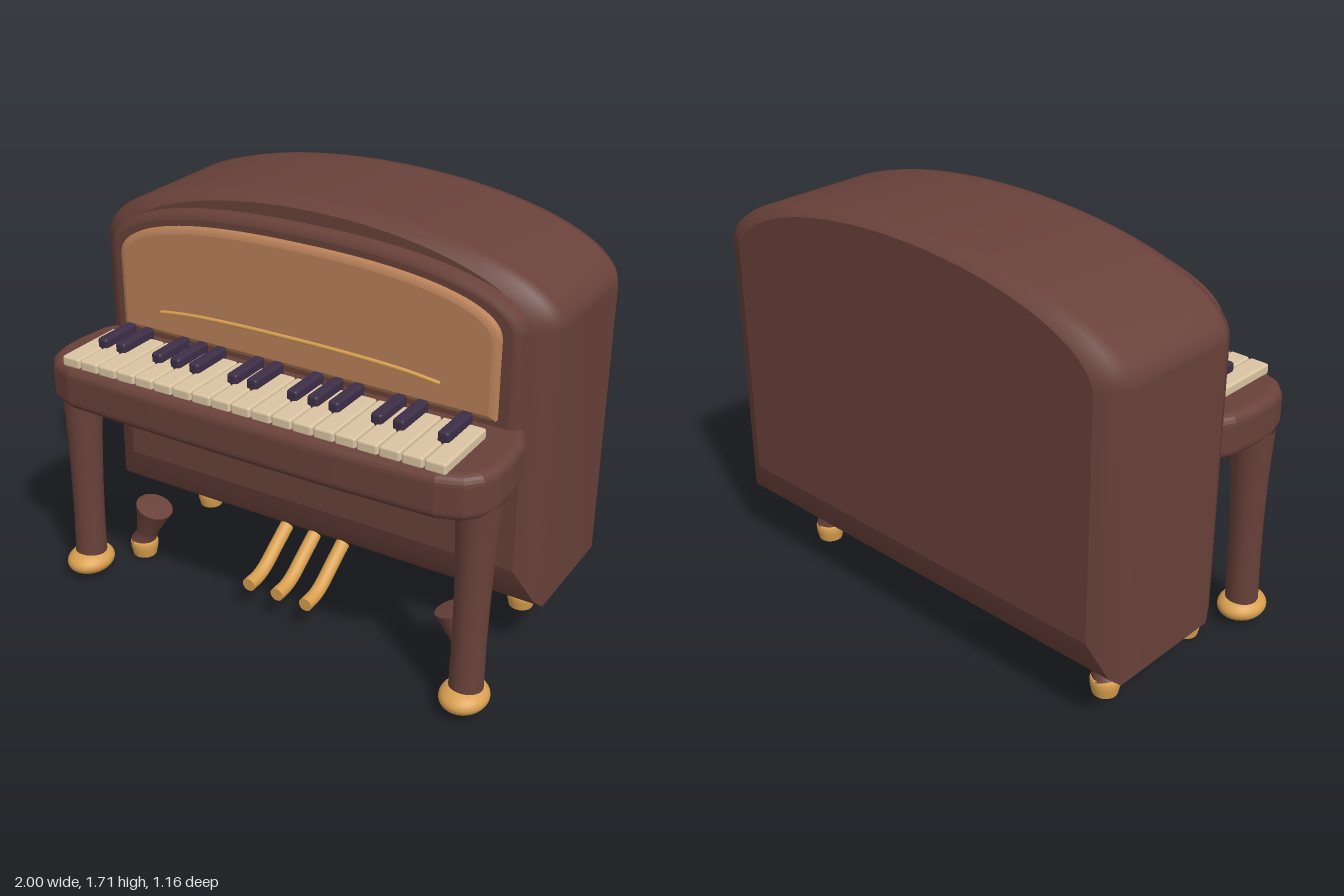
import * as THREE from 'three';
import { RoundedBoxGeometry } from 'three/addons/geometries/RoundedBoxGeometry.js';

const mat = (name, color) => {
  const m = new THREE.MeshStandardMaterial({ color });
  m.name = name;
  return m;
};

// Arched outline: flat bottom, straight sides, superelliptic top (corners doubled to stay sharp)
function archRing(w, yb, ys, yt, p) {
  const pts = [[-w, yb], [w, yb], [w, yb]];
  const n = 48;
  for (let i = 0; i <= n; i++) {
    const t = (i / n) * Math.PI;
    const c = Math.cos(t), s = Math.max(0, Math.sin(t));
    pts.push([w * Math.sign(c) * Math.abs(c) ** (2 / p), ys + (yt - ys) * s ** (2 / p)]);
  }
  pts.push([-w, yb]);
  return pts;
}

// Skin arched outlines from back to front; layer = [z, halfWidth, bottom, shoulder, top]
function archLoft(layers, p = 2) {
  const pos = [], idx = [];
  const rings = layers.map(([z, ...r]) => archRing(...r, p).map(([x, y]) => [x, y, z]));
  const n = rings[0].length;
  rings.forEach((r) => r.forEach((v) => pos.push(...v)));
  for (let i = 0; i < rings.length - 1; i++) {
    for (let j = 0; j < n - 1; j++) {
      const a = i * n + j, d = a + n;
      idx.push(a, a + 1, d + 1, a, d + 1, d);
    }
  }
  const cap = (ring, front) => {
    const base = pos.length / 3;
    pos.push(0, (ring[0][1] + ring[3][1]) / 2, ring[0][2]);
    ring.forEach((v) => pos.push(...v));
    for (let j = 1; j < n; j++) {
      if (front) idx.push(base, base + j, base + j + 1);
      else idx.push(base, base + j + 1, base + j);
    }
  };
  cap(rings[0], false);
  cap(rings[rings.length - 1], true);
  const g = new THREE.BufferGeometry();
  g.setAttribute('position', new THREE.Float32BufferAttribute(pos, 3));
  g.setIndex(idx);
  g.computeVertexNormals();
  return g;
}

const lathe = (pts, seg = 28) =>
  new THREE.LatheGeometry(pts.map(([r, y]) => new THREE.Vector2(r, y)), seg);

const curve = (pts) => new THREE.CatmullRomCurve3(pts.map((p) => new THREE.Vector3(...p)));

export function createModel() {
  const model = new THREE.Group();
  model.name = 'uprightPiano';
  const wood = mat('darkWood', 0x69413a);
  const panelWood = mat('lightWood', 0xba8159);
  const gold = mat('brass', 0xd9a050);
  const ivory = mat('ivory', 0xdac5a2);
  const ebony = mat('ebony', 0x3d2e46);

  const add = (name, geo, material, x = 0, y = 0, z = 0, parent = model) => {
    const m = new THREE.Mesh(geo, material);
    m.name = name;
    m.position.set(x, y, z);
    parent.add(m);
    return m;
  };

  // Case with softened front and back edges
  add('case', archLoft([
    [-0.58, 0.9, 0.42, 1.38, 1.68],
    [-0.545, 0.98, 0.29, 1.4, 1.705],
    [-0.5, 1, 0.25, 1.4, 1.71],
    [0, 1, 0.25, 1.4, 1.71],
    [0.045, 0.98, 0.29, 1.4, 1.705],
    [0.08, 0.9, 0.42, 1.38, 1.68],
  ]), wood);

  // Raised frame and the music panel set on it
  add('panelFrame', archLoft([
    [0.07, 0.9, 1.0, 1.39, 1.63],
    [0.125, 0.9, 1.0, 1.39, 1.63],
    [0.138, 0.89, 1.01, 1.385, 1.62],
    [0.143, 0.87, 1.03, 1.38, 1.6],
  ], 2.3), wood);
  add('musicPanel', archLoft([
    [0.135, 0.83, 1.07, 1.37, 1.575],
    [0.16, 0.83, 1.07, 1.37, 1.575],
    [0.169, 0.822, 1.08, 1.367, 1.567],
    [0.173, 0.805, 1.09, 1.36, 1.55],
  ], 2.4), panelWood);

  // Music rail
  add('musicRail', new THREE.TubeGeometry(curve([
    [-0.62, 1.18, 0.19], [-0.48, 1.2, 0.198], [-0.25, 1.213, 0.204], [0, 1.216, 0.205],
    [0.25, 1.213, 0.204], [0.48, 1.2, 0.198], [0.62, 1.18, 0.19],
  ]), 48, 0.008, 8), gold);

  // Keyboard shelf with rounded front corners
  const right = [[0.9, 0.06], [0.955, 0.17], [0.97, 0.3], [0.968, 0.4], [0.945, 0.48], [0.895, 0.535], [0.8, 0.57]];
  const outline = new THREE.Shape([
    ...right.map(([x, z]) => [x, z]),
    [0.4, 0.582], [0, 0.585], [-0.4, 0.582],
    ...right.slice().reverse().map(([x, z]) => [-x, z]),
  ].map(([x, z]) => new THREE.Vector2(x, z)));
  const shelfGeo = new THREE.ExtrudeGeometry(outline, {
    depth: 0.1, bevelEnabled: true, bevelThickness: 0.04, bevelSize: 0.04, bevelOffset: -0.04, bevelSegments: 5,
  });
  shelfGeo.rotateX(Math.PI / 2);
  add('keyShelf', shelfGeo, wood, 0, 1.0, 0);

  // Keys
  const keys = new THREE.Group();
  keys.name = 'keyboard';
  model.add(keys);
  const pitch = 0.088, x0 = -0.84;
  const whiteGeo = new RoundedBoxGeometry(0.083, 0.045, 0.315, 2, 0.01);
  for (let i = 0; i < 19; i++) {
    add('whiteKey', whiteGeo, ivory, x0 + (i + 0.5) * pitch, 1.055, 0.388, keys);
  }
  const blackGeo = new RoundedBoxGeometry(0.046, 0.055, 0.195, 2, 0.012);
  for (const k of [1, 2, 4, 5, 6, 8, 9, 11, 12, 13, 15, 16, 18]) {
    add('blackKey', blackGeo, ebony, x0 + k * pitch, 1.087, 0.308, keys);
  }

  // Tall front legs and short case legs, mirrored
  const legGeo = lathe([[0.066, 0], [0.064, 0.2], [0.066, 0.38], [0.071, 0.55], [0.079, 0.7], [0.086, 0.8]]);
  const ballGeo = new THREE.SphereGeometry(1, 28, 18);
  const shortGeo = lathe([[0.058, 0], [0.045, 0.035], [0.048, 0.07], [0.064, 0.14], [0.08, 0.2], [0.08, 0.2], [0, 0.205]]);
  const capGeo = lathe([[0, 0], [0.05, 0], [0.05, 0], [0.058, 0.035], [0.06, 0.06], [0.055, 0.075], [0, 0.08]]);
  for (const s of [-1, 1]) {
    add('frontLeg', legGeo, wood, s * 0.888, 0.09, 0.415).rotation.x = -0.033;
    add('frontLegFoot', ballGeo, gold, s * 0.887, 0.068, 0.422).scale.set(0.094, 0.054, 0.108);
    for (const [z, lean, h] of [[0.185, 0, 1], [-0.315, 0.1, 1.12]]) {
      const leg = add('shortLeg', shortGeo, wood, s * 0.785, 0.062, z);
      leg.rotation.set(lean, 0, s * 0.34);
      leg.scale.y = h;
      add('shortLegFoot', capGeo, gold, s * 0.785, 0, z);
    }
  }

  // Pedals
  const pedalPath = curve([[0, 0.27, 0.04], [0, 0.215, 0.125], [0, 0.16, 0.21], [0, 0.142, 0.26], [0, 0.138, 0.33]]);
  const pedalGeo = new THREE.TubeGeometry(pedalPath, 24, 0.029, 16);
  const endGeo = new THREE.CircleGeometry(0.029, 16);
  for (const x of [-0.135, 0, 0.135]) {
    add('pedal', pedalGeo, gold, x);
    for (const t of [0, 1]) {
      const end = add('pedalEnd', endGeo, gold);
      const dir = pedalPath.getTangentAt(t).multiplyScalar(t ? 1 : -1);
      end.quaternion.setFromUnitVectors(new THREE.Vector3(0, 0, 1), dir);
      end.position.copy(pedalPath.getPointAt(t)).setX(x);
    }
  }

  return model;
}
